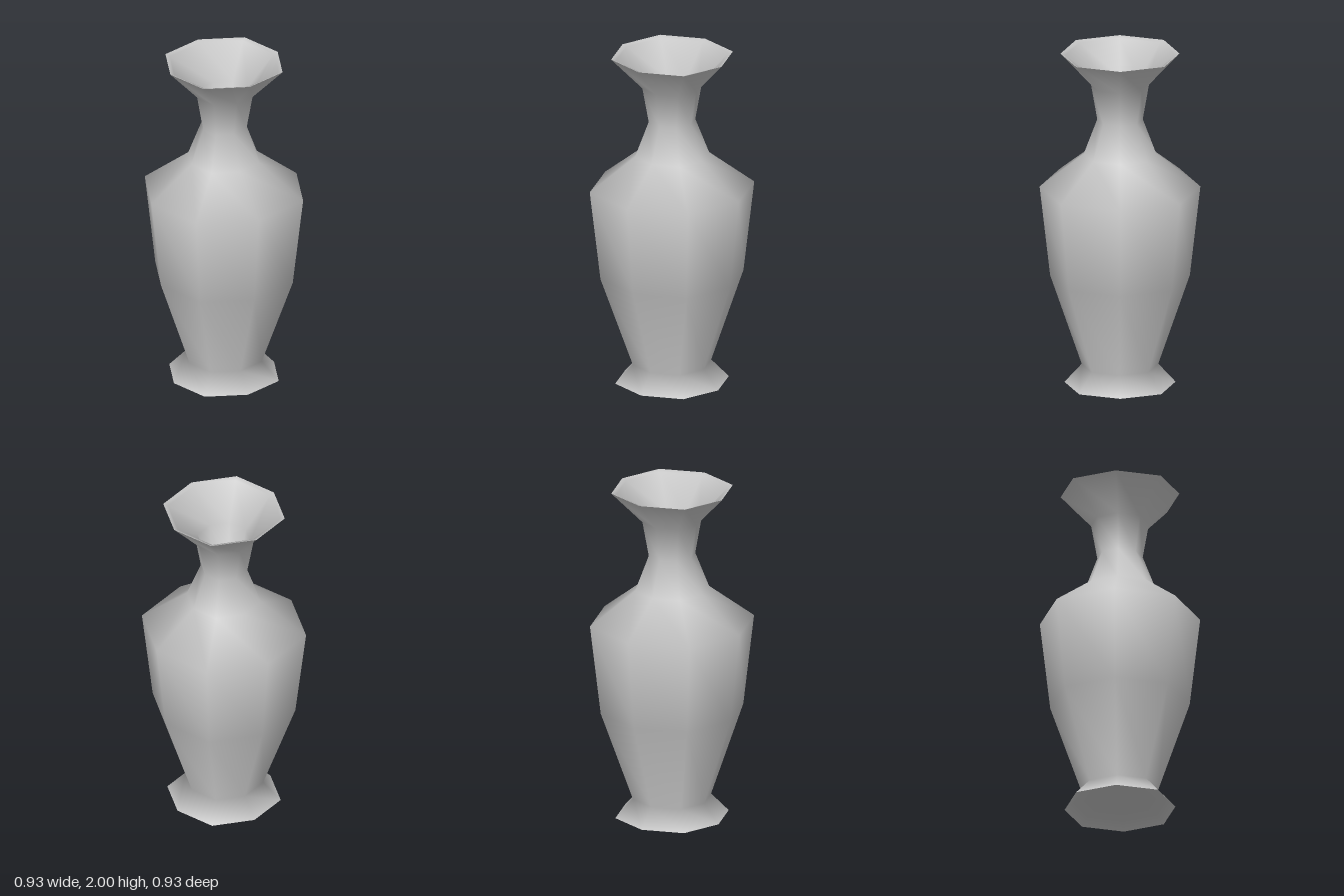
import * as THREE from 'three';

const clay = new THREE.MeshStandardMaterial({ color: 0xc4c4c4 });
clay.name = 'grey clay';

// Eight-sided turned surface, a little fuller on the diagonals
function turned(name, profile) {
  const geometry = new THREE.LatheGeometry(profile.map(([r, y]) => new THREE.Vector2(r, y)), 8);
  const pos = geometry.attributes.position;
  for (let i = 0; i < pos.count; i++) {
    const x = pos.getX(i), z = pos.getZ(i);
    if (Math.min(Math.abs(x), Math.abs(z)) > 0.01) pos.setXYZ(i, x * 1.043, pos.getY(i), z * 1.043);
  }
  const mesh = new THREE.Mesh(geometry, clay);
  mesh.name = name;
  return mesh;
}

export function createModel() {
  const vase = new THREE.Group();
  vase.name = 'vase';

  // Shallow hollow under the foot
  vase.add(turned('footHollow', [[0, 0.06], [0.26, 0.05], [0.322, 0]]));

  // Outer wall: flared foot, body, shoulder, neck and flared mouth
  vase.add(turned('outerWall', [
    [0.322, 0], [0.222, 0.11], [0.405, 0.65], [0.466, 1.19],
    [0.21, 1.39], [0.132, 1.6], [0.168, 1.81], [0.345, 2],
  ]));

  // Lip and inside of the mouth, closing within the neck
  vase.add(turned('mouthInterior', [
    [0.345, 2], [0.318, 1.99], [0.15, 1.81], [0.118, 1.6], [0, 1.56],
  ]));

  return vase;
}
